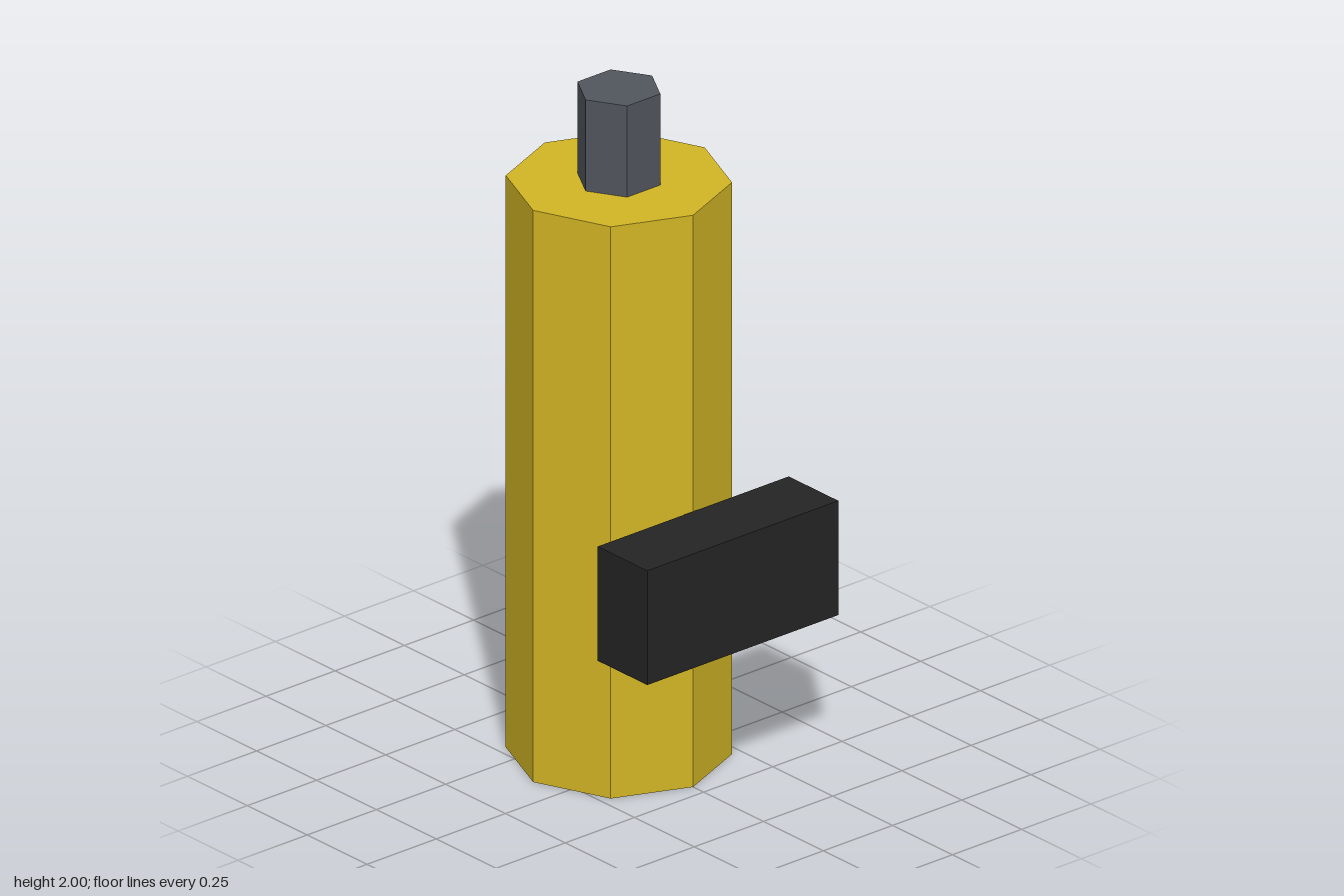
import * as THREE from 'three';

export function createModel() {
  const model = new THREE.Group();
  model.name = 'gasCylinder';

  const material = (name, color) => {
    const m = new THREE.MeshStandardMaterial({ color, flatShading: true });
    m.name = name;
    return m;
  };
  const yellow = material('yellowPaint', 0xd2b525);
  const grey = material('greyMetal', 0x51565d);
  const black = material('blackRubber', 0x242424);

  const axisZ = -0.104; // the tank stands behind the centre
  const bodyTop = 1.725;

  const add = (name, geometry, mat, y, z) => {
    const mesh = new THREE.Mesh(geometry, mat);
    mesh.name = name;
    mesh.position.set(0, y, z);
    model.add(mesh);
    return mesh;
  };

  // Eight-sided tank
  add('tankBody', new THREE.CylinderGeometry(0.31, 0.31, bodyTop, 8), yellow, bodyTop / 2, axisZ);

  // Six-sided valve with corners to the left and right
  const valveHeight = 2 - bodyTop;
  const valve = add('valve', new THREE.CylinderGeometry(0.12, 0.12, valveHeight, 6), grey, bodyTop + valveHeight / 2, axisZ);
  valve.rotation.y = Math.PI / 6;

  // Block across the front of the tank
  add('frontBlock', new THREE.BoxGeometry(0.69, 0.345, 0.207), black, 0.659, 0.31);

  return model;
}
